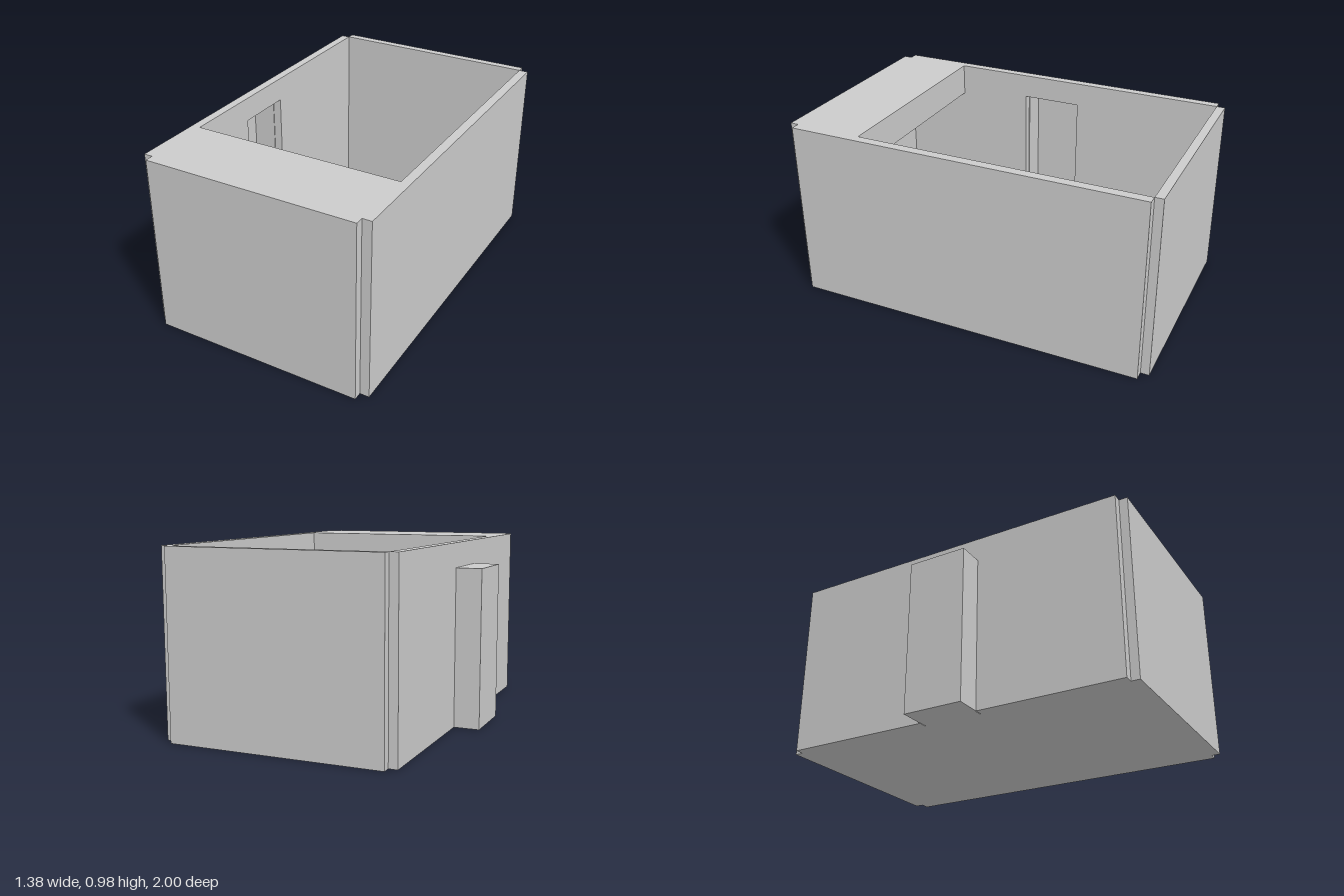
import * as THREE from 'three';

const H = 0.975;                       // wall height
const X0 = -0.505, X1 = 0.638;         // inner faces of the side walls
const Z1 = 0.955, T = 0.047;           // inner face of the end walls, wall thickness
const A0 = -0.15, A1 = 0.175, AH = 0.845, AX = -0.69; // alcove extents

export function createModel() {
  const room = new THREE.Group();
  room.name = 'room';
  const material = new THREE.MeshStandardMaterial({ color: 0xcccccc, flatShading: true });

  // Box given by its minimum and maximum corners
  const box = (name, [ax, ay, az], [bx, by, bz], parent = room) => {
    const mesh = new THREE.Mesh(new THREE.BoxGeometry(bx - ax, by - ay, bz - az), material);
    mesh.position.set((ax + bx) / 2, (ay + by) / 2, (az + bz) / 2);
    mesh.name = name;
    parent.add(mesh);
    return mesh;
  };

  // Outline in (z, y), extruded along x from x0 to x1
  const slab = (name, points, x0, x1, parent = room) => {
    const shape = new THREE.Shape(points.map(([z, y]) => new THREE.Vector2(-z, y)));
    const geometry = new THREE.ExtrudeGeometry(shape, { depth: x1 - x0, bevelEnabled: false });
    geometry.rotateY(Math.PI / 2).translate(x0, 0, 0);
    const mesh = new THREE.Mesh(geometry, material);
    mesh.name = name;
    parent.add(mesh);
  };

  // Floor and end walls
  box('floor', [X0, 0, -Z1], [X1, 0.004, Z1]);
  box('frontWall', [X0, 0, Z1], [X1, H, 1]);
  box('backWall', [X0, 0, -1], [X1, H, -Z1]);

  // Side walls; the right one is cut open for the alcove
  box('leftWall', [X1, 0, -Z1], [X1 + T + 0.003, H, Z1]);
  slab('rightWall', [
    [-Z1, 0], [A0, 0], [A0, AH], [A1, AH], [A1, 0], [Z1, 0], [Z1, H], [-Z1, H],
  ], X0 - T, X0);

  // Dropped ceiling along the front
  box('soffit', [X0, 0.8, 0.587], [X1, H, Z1]);

  // Thin-walled alcove
  const alcove = new THREE.Group();
  alcove.name = 'alcove';
  room.add(alcove);
  const t = 0.004, AO = X0 - T;
  box('alcoveBack', [AX, 0, A0], [AX + t, AH, A1], alcove);
  box('alcoveTop', [AX + t, AH - t, A0], [AO, AH, A1], alcove);
  box('alcoveSide', [AX + t, 0, A0], [AO, AH - t, A0 + t], alcove);
  box('alcoveSide', [AX + t, 0, A1 - t], [AO, AH - t, A1], alcove);
  box('alcoveFloor', [AX + t, 0, A0 + t], [X0, t, A1 - t], alcove);

  // Door with frame and handle on the inside of the left wall
  const door = new THREE.Group();
  door.name = 'door';
  room.add(door);
  const d0 = 0.19, d1 = 0.66, dh = 0.785, w = 0.04;
  slab('doorFrame', [
    [d0, 0.004], [d0 + w, 0.004], [d0 + w, dh - w], [d1 - w, dh - w],
    [d1 - w, 0.004], [d1, 0.004], [d1, dh], [d0, dh],
  ], 0.615, X1, door);
  box('doorLeaf', [0.626, 0.004, d0 + w], [X1, dh - w, d1 - w], door);
  box('handlePlate', [0.62, 0.42, 0.25], [0.626, 0.5, 0.262], door);
  box('handleGrip', [0.6, 0.455, 0.252], [0.62, 0.464, 0.26], door);

  // Light switch beside the door
  const lightSwitch = new THREE.Group();
  lightSwitch.name = 'lightSwitch';
  room.add(lightSwitch);
  box('switchPlate', [0.63, 0.5, 0.066], [X1, 0.555, 0.12], lightSwitch);
  box('switchButton', [0.625, 0.512, 0.078], [0.63, 0.543, 0.108], lightSwitch);

  return room;
}
